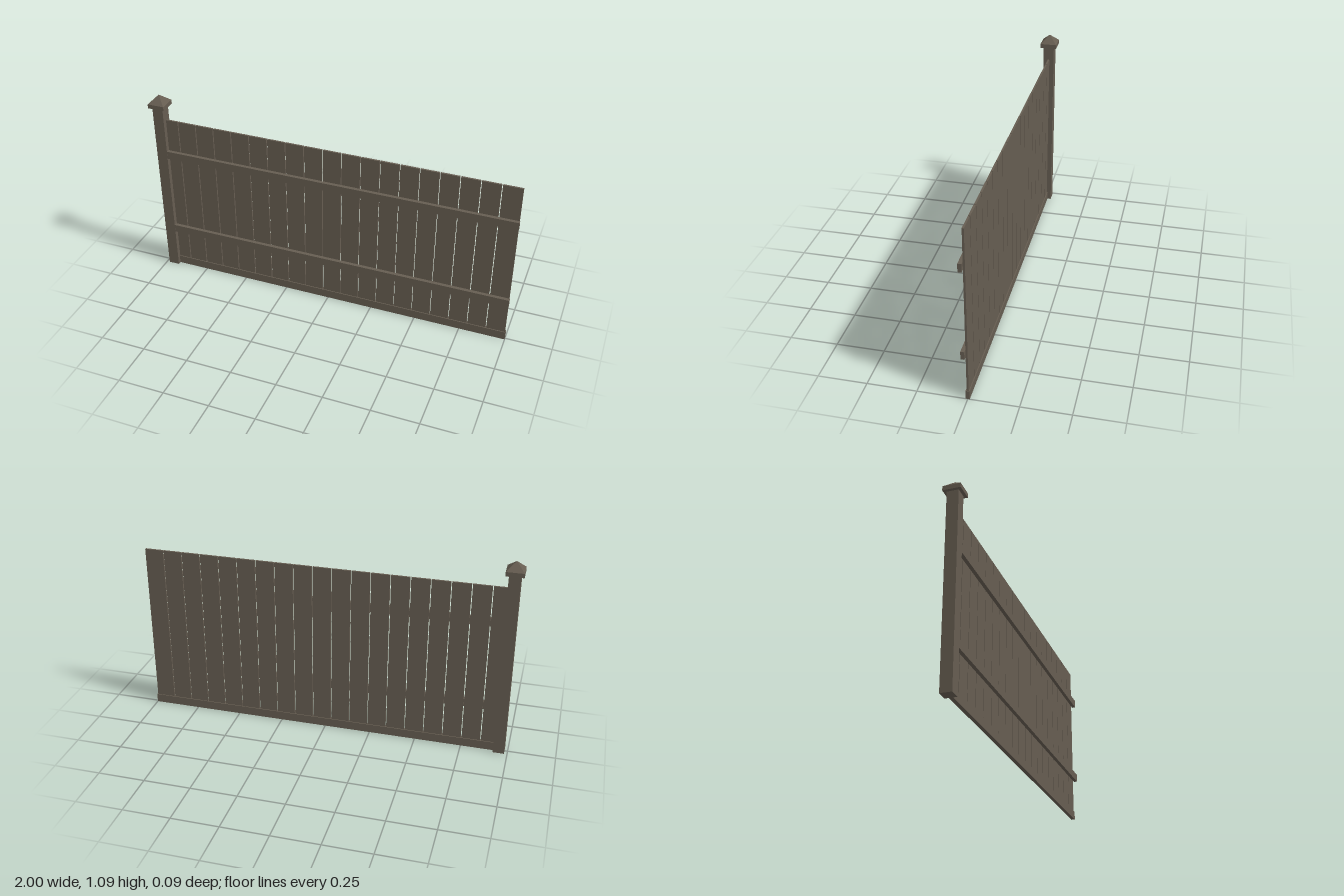
import * as THREE from 'three';

export function createModel() {
  const group = new THREE.Group();
  group.name = 'fencePanel';
  const wood = new THREE.MeshStandardMaterial({ color: 0x665d51 });
  wood.name = 'weathered brown';

  // Box given by its min and max corners
  function box(name, x0, x1, y0, y1, z0, z1) {
    const mesh = new THREE.Mesh(new THREE.BoxGeometry(x1 - x0, y1 - y0, z1 - z0), wood);
    mesh.position.set((x0 + x1) / 2, (y0 + y1) / 2, (z0 + z1) / 2);
    mesh.name = name;
    group.add(mesh);
  }

  // Post with its square cap and pyramid top
  const postX = -0.954;
  box('post', postX - 0.03, postX + 0.03, 0, 1.02, -0.03, 0.03);
  box('capBase', postX - 0.046, postX + 0.046, 1.02, 1.043, -0.046, 0.046);
  const pyramid = new THREE.ConeGeometry(0.046 * Math.SQRT2, 0.044, 4, 1).toNonIndexed();
  pyramid.rotateY(Math.PI / 4);
  pyramid.computeVertexNormals();
  const capTop = new THREE.Mesh(pyramid, wood);
  capTop.name = 'capTop';
  capTop.position.set(postX, 1.065, 0);
  group.add(capTop);

  // Vertical boards with narrow gaps; the first is cut short by the post
  const pitch = 0.1027, gap = 0.005, firstSeam = -0.853;
  for (let i = 0; i <= 18; i++) {
    const right = firstSeam + i * pitch;
    const left = i === 0 ? -0.93 : right - pitch;
    box('board', left + gap / 2, right - gap / 2 + (i === 18 ? 0.003 : 0), 0.03, 0.943, -0.005, 0.005);
  }

  // Horizontal rails on the front
  for (const y of [0.233, 0.717]) box('rail', -0.93, 1, y, y + 0.044, 0.01, 0.029);

  // Kickboard along the ground
  box('kickboard', -0.93, 1, 0, 0.047, -0.01, 0.01);

  return group;
}
